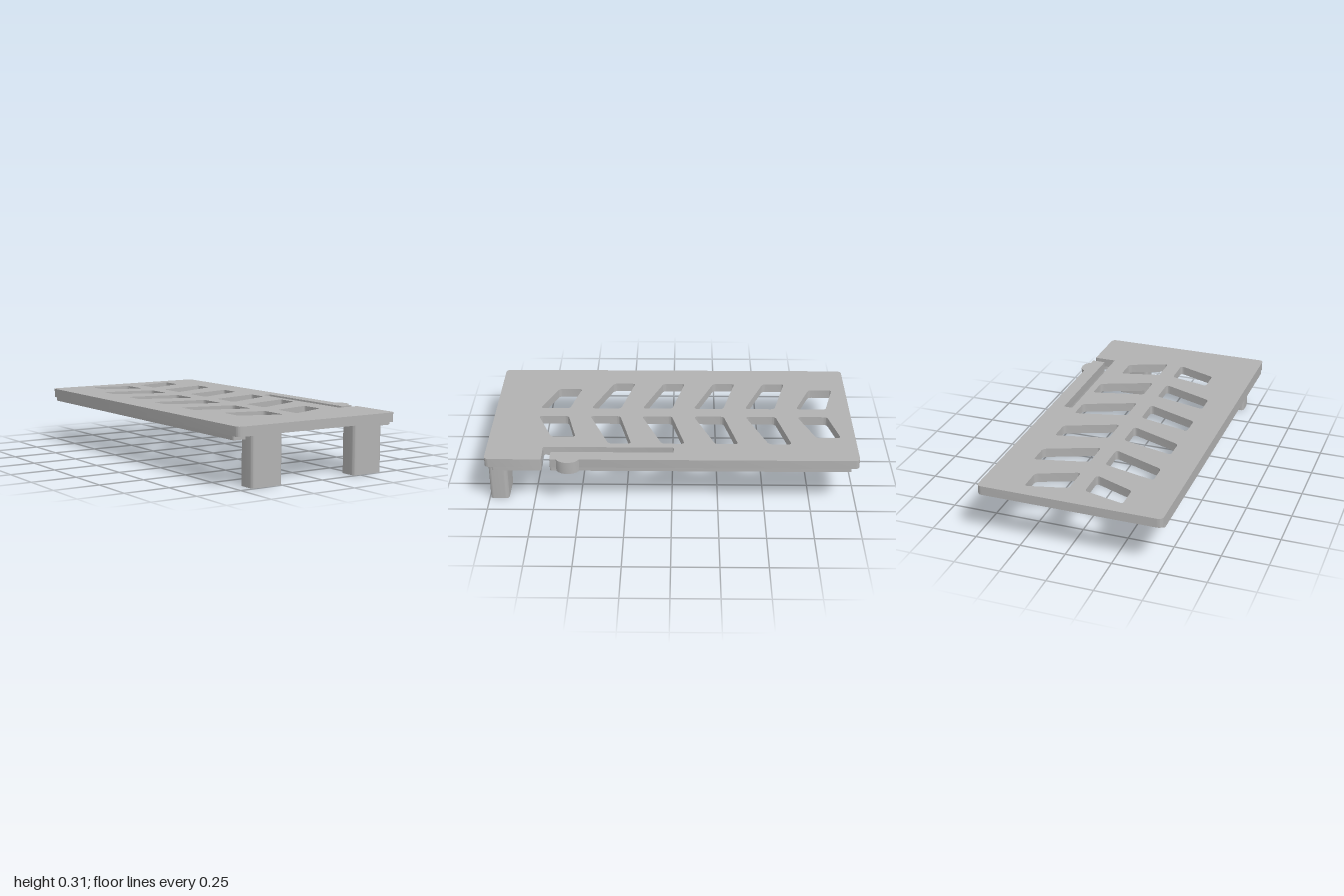
import * as THREE from 'three';
import { toCreasedNormals } from 'three/addons/utils/BufferGeometryUtils.js';

const TOP = 0.31, UNDER = 0.26, RAIL = 0.24;
const MID = -0.0175; // mirror line of the vent pattern
const LEFT = 0.48, RIGHT = -0.515; // plate edges

// Closed outline through [x, z, cornerRadius] points
function rounded(points, path = new THREE.Shape()) {
  const n = points.length;
  points.forEach(([x, z, r = 0], i) => {
    const p = new THREE.Vector2(x, z);
    const toward = ([qx, qz]) => new THREE.Vector2(qx, qz).sub(p).normalize().multiplyScalar(r).add(p);
    const a = toward(points[(i + n - 1) % n]);
    const b = toward(points[(i + 1) % n]);
    if (i === 0) path.moveTo(a.x, a.y); else path.lineTo(a.x, a.y);
    if (r > 0) path.quadraticCurveTo(x, z, b.x, b.y);
  });
  path.closePath();
  return path;
}

// Extrude an x/z outline downwards from yTop to yBottom
function slab(shape, yTop, yBottom) {
  const g = new THREE.ExtrudeGeometry(shape, { depth: yTop - yBottom, bevelEnabled: false, curveSegments: 8 });
  g.rotateX(Math.PI / 2);
  g.translate(0, yTop, 0);
  return toCreasedNormals(g, 0.6);
}

const rect = (x0, x1, z0, z1, r) => rounded([[x0, z0, r], [x1, z0, r], [x1, z1, r], [x0, z1, r]]);

export function createModel() {
  const group = new THREE.Group();
  const grey = new THREE.MeshStandardMaterial({ color: 0xb2b2b2 });
  grey.name = 'grey plastic';
  const add = (name, geometry) => {
    const mesh = new THREE.Mesh(geometry, grey);
    mesh.name = name;
    group.add(mesh);
  };

  // Top plate, notched on the left side to free the spring arm
  const plate = rounded([
    [RIGHT, -1, 0.03], [LEFT, -1, 0.03],
    [LEFT, 0.65, 0.005], [0.405, 0.65, 0.005],
    [0.405, -0.01, 0.01], [0.355, -0.01, 0.01],
    [0.355, 0.695, 0.01], [LEFT, 0.695, 0.005],
    [LEFT, 1, 0.03], [RIGHT, 1, 0.03],
  ]);

  // Mirrored slanted vents, shorter in the first and last rows
  for (let row = 0; row < 6; row++) {
    const z = -0.866 + row * 0.29;
    const w = row === 0 || row === 5 ? 0.222 : 0.29;
    for (const side of [-1, 1]) {
      const inner = MID + side * 0.043, outer = inner + side * w;
      plate.holes.push(rounded([
        [inner, z, 0.02], [outer, z - 0.25 * w, 0.02],
        [outer, z + 0.165 - 0.39 * w, 0.02], [inner, z + 0.168, 0.025],
      ], new THREE.Path()));
    }
  }
  add('plate', slab(plate, TOP, UNDER));

  // Shallow rails under both long edges
  add('rightRail', slab(rect(RIGHT, -0.44, -0.957, 0.96, 0.01), UNDER, RAIL));
  add('leftRail', slab(rect(0.405, LEFT, -0.957, 0.65, 0.01), UNDER, RAIL));
  add('leftRailFront', slab(rect(0.405, LEFT, 0.695, 0.96, 0.01), UNDER, RAIL));

  // Rounded catch on the spring arm
  const catchShape = new THREE.Shape();
  catchShape.moveTo(0.47, 0.493);
  catchShape.lineTo(LEFT, 0.493);
  catchShape.bezierCurveTo(0.525, 0.515, 0.525, 0.59, LEFT, 0.615);
  catchShape.lineTo(0.47, 0.615);
  catchShape.closePath();
  add('catch', slab(catchShape, TOP, RAIL));

  // Front legs
  for (const side of [-1, 1]) {
    const a = MID + side * 0.2275, b = MID + side * 0.4115;
    const leg = rect(Math.min(a, b), Math.max(a, b), 0.893, 0.995, 0.022);
    add(side > 0 ? 'leftLeg' : 'rightLeg', slab(leg, UNDER, 0));
  }
  return group;
}
